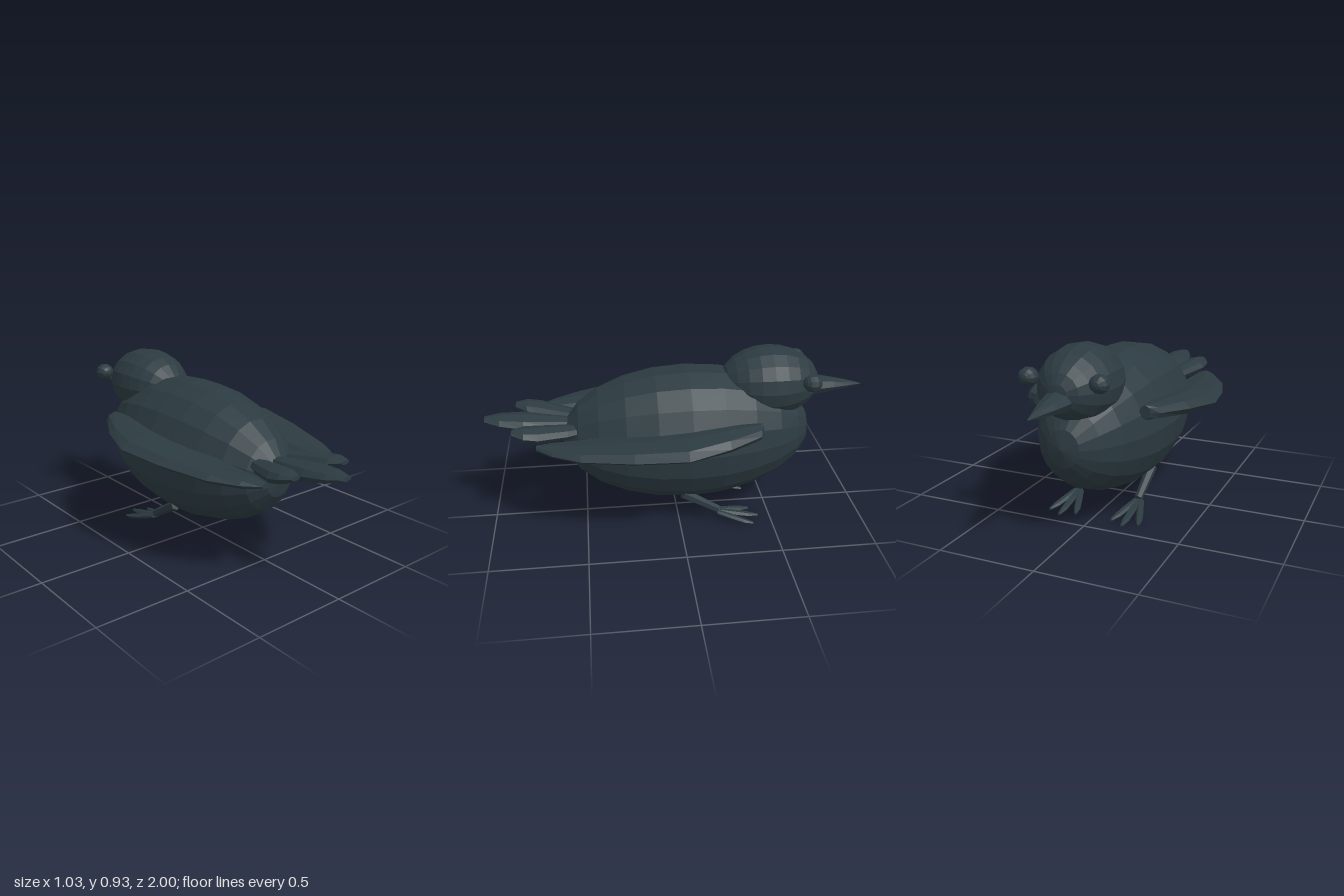
import * as THREE from 'three';

const plumage = new THREE.MeshStandardMaterial({ color: 0x2c3b41, flatShading: true });
plumage.name = 'dark slate plumage';

function mesh(name, geometry) {
  const m = new THREE.Mesh(geometry, plumage);
  m.name = name;
  return m;
}

// Ellipsoid whose poles lie on the z axis
function ellipsoid(name, [x, y, z], [rx, ry, rz], around, along) {
  const g = new THREE.SphereGeometry(1, around, along);
  g.rotateX(Math.PI / 2).scale(rx, ry, rz).translate(x, y, z);
  return mesh(name, g);
}

// Skin over elliptical sections [x, y, z, halfWidth, halfHeight], ordered by rising z
function loft(name, sections, sides = 8) {
  const pos = [];
  const index = [];
  for (const [x, y, z, w, h] of sections) {
    for (let j = 0; j < sides; j++) {
      const a = (j / sides) * Math.PI * 2;
      pos.push(x + w * Math.cos(a), y + h * Math.sin(a), z);
    }
  }
  const last = (sections.length - 1) * sides;
  for (let i = 0; i < last; i += sides) {
    for (let j = 0; j < sides; j++) {
      const k = (j + 1) % sides;
      index.push(i + j, i + k, i + sides + k, i + j, i + sides + k, i + sides + j);
    }
  }
  for (let j = 1; j < sides - 1; j++) {
    index.push(0, j + 1, j, last, last + j, last + j + 1);
  }
  const g = new THREE.BufferGeometry();
  g.setAttribute('position', new THREE.Float32BufferAttribute(pos, 3));
  g.setIndex(index);
  g.computeVertexNormals();
  return mesh(name, g);
}

// Wing rows: z, inner x, outer x, centre y, half thickness
const wingRows = [
  [-0.41, 0.265, 0.315, 0.61, 0.036],
  [-0.39, 0.25, 0.36, 0.61, 0.038],
  [-0.22, 0.23, 0.45, 0.597, 0.046],
  [-0.01, 0.21, 0.515, 0.58, 0.046],
  [0.25, 0.19, 0.475, 0.562, 0.042],
  [0.51, 0.185, 0.4, 0.546, 0.033],
  [0.65, 0.195, 0.32, 0.543, 0.026],
  [0.73, 0.215, 0.25, 0.545, 0.013],
];

function wing(s) {
  return loft('wing', wingRows.map(([z, a, b, y, h]) => [s * (a + b) / 2, y, z, (b - a) / 2, h]));
}

function leg(s) {
  const group = new THREE.Group();
  group.name = s > 0 ? 'leftLeg' : 'rightLeg';

  // Shank slanting forward to the ankle
  const top = new THREE.Vector3(s * 0.175, 0.185, -0.02);
  const ankle = new THREE.Vector3(s * 0.175, 0.072, -0.21);
  const dir = top.clone().sub(ankle);
  const shank = mesh('shank', new THREE.CylinderGeometry(0.029, 0.021, dir.length(), 6));
  shank.position.copy(top).add(ankle).multiplyScalar(0.5);
  shank.quaternion.setFromUnitVectors(new THREE.Vector3(0, 1, 0), dir.normalize());
  group.add(shank);

  // Three splayed toes
  for (const t of [-1, 0, 1]) {
    const x = s * 0.175;
    const reach = t ? 0.19 : 0.23;
    group.add(loft('toe', [
      [x + t * 0.062 + t * 0.012, 0.014, -0.205 - reach, 0.008, 0.007],
      [x + t * 0.06, 0.022, -0.205 - reach * 0.75, 0.019, 0.014],
      [x + t * 0.038, 0.039, -0.205 - reach * 0.4, 0.02, 0.016],
      [x + t * 0.014, 0.06, -0.205, 0.016, 0.014],
    ], 6));
  }
  return group;
}

export function createModel() {
  const bird = new THREE.Group();
  bird.name = 'bird';

  bird.add(ellipsoid('body', [0, 0.48, -0.057], [0.326, 0.367, 0.665], 18, 12));
  bird.add(ellipsoid('head', [0, 0.75, -0.492], [0.195, 0.19, 0.265], 16, 12));

  // Tapering beak
  bird.add(loft('beak', [
    [0, 0.705, -1, 0.003, 0.003],
    [0, 0.708, -0.94, 0.02, 0.018],
    [0, 0.713, -0.84, 0.05, 0.036],
    [0, 0.716, -0.75, 0.07, 0.05],
    [0, 0.716, -0.68, 0.075, 0.055],
  ]));

  for (const s of [1, -1]) {
    bird.add(ellipsoid('eye', [s * 0.18, 0.803, -0.68], [0.049, 0.045, 0.049], 10, 8));
    bird.add(wing(s));
    bird.add(leg(s));
    // Outer tail feathers
    bird.add(loft('outerTailFeather', [
      [s * 0.06, 0.555, 0.44, 0.035, 0.022],
      [s * 0.105, 0.56, 0.57, 0.055, 0.034],
      [s * 0.15, 0.577, 0.72, 0.069, 0.04],
      [s * 0.16, 0.59, 0.79, 0.062, 0.033],
      [s * 0.163, 0.602, 0.85, 0.028, 0.012],
    ]));
  }

  // Centre tail feather
  bird.add(loft('centreTailFeather', [
    [0, 0.55, 0.48, 0.035, 0.025],
    [0, 0.56, 0.62, 0.055, 0.04],
    [0, 0.577, 0.8, 0.085, 0.045],
    [0, 0.592, 0.92, 0.067, 0.032],
    [0, 0.604, 1, 0.03, 0.012],
  ]));

  return bird;
}
